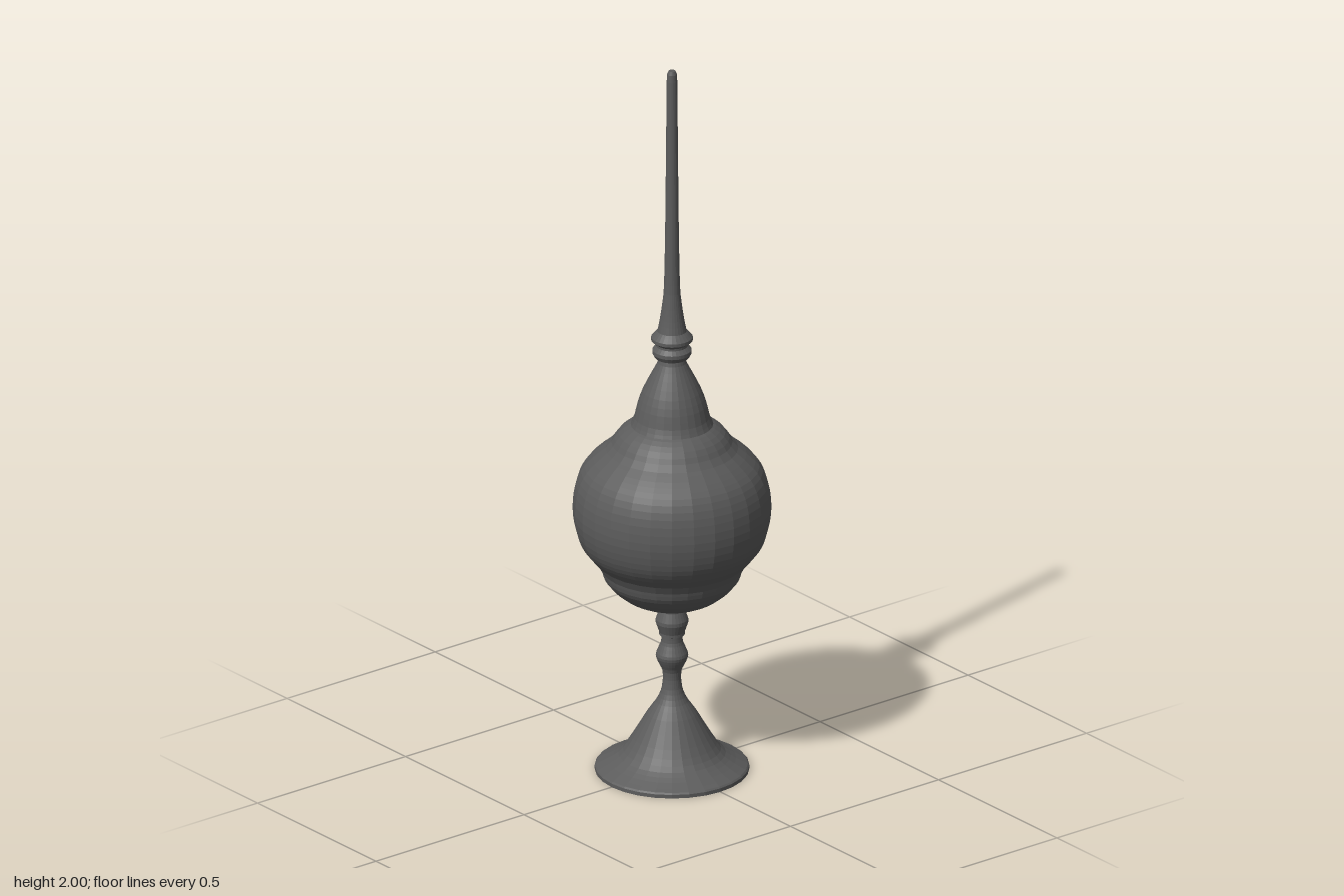
import * as THREE from 'three';

const SIDES = 28;

// Smooth curve through [radius, height] points
function smooth(points, count) {
  return new THREE.SplineCurve(points.map(([r, y]) => new THREE.Vector2(r, y))).getPoints(count);
}

function straight(points) {
  return points.map(([r, y]) => new THREE.Vector2(r, y));
}

export function createModel() {
  const group = new THREE.Group();
  const metal = new THREE.MeshStandardMaterial({ color: 0x5c5c5c, flatShading: true });
  metal.name = 'dark metal';

  function turned(name, profile) {
    const mesh = new THREE.Mesh(new THREE.LatheGeometry(profile, SIDES), metal);
    mesh.name = name;
    group.add(mesh);
  }

  // Flared foot, hollow underneath: inner surface, rim, then outer surface
  turned('foot', [
    ...smooth([[0, 0.2], [0.03, 0.19], [0.055, 0.16], [0.098, 0.09], [0.127, 0.045], [0.155, 0.022], [0.196, 0]], 12),
    ...straight([[0.204, 0], [0.204, 0.01]]),
    ...smooth([[0.2, 0.014], [0.165, 0.032], [0.135, 0.053], [0.107, 0.092], [0.064, 0.165], [0.04, 0.2], [0.028, 0.23], [0.024, 0.26]], 16),
  ]);

  // Stem with two knobs
  turned('stem', [
    ...smooth([[0.024, 0.26], [0.026, 0.285], [0.037, 0.308], [0.043, 0.327], [0.037, 0.345], [0.029, 0.365], [0.028, 0.383]], 14),
    ...straight([[0.034, 0.386], [0.034, 0.394], [0.043, 0.42], [0.043, 0.43], [0.034, 0.455], [0.034, 0.48]]),
  ]);

  // Round vessel with a stepped lower cup and shoulder
  turned('bowl', [
    ...straight([[0, 0.468], [0.04, 0.469]]),
    ...smooth([[0.065, 0.474], [0.115, 0.493], [0.152, 0.52], [0.178, 0.55], [0.188, 0.578]], 10),
    ...smooth([[0.2, 0.6], [0.232, 0.637], [0.252, 0.68], [0.262, 0.74], [0.257, 0.805], [0.238, 0.857], [0.208, 0.892], [0.175, 0.92]], 20),
    ...smooth([[0.16, 0.937], [0.145, 0.96], [0.125, 0.978], [0.105, 0.99]], 5),
  ]);

  // Tapered neck
  turned('neck', smooth([[0.109, 0.988], [0.1, 1.01], [0.092, 1.045], [0.078, 1.085], [0.056, 1.13], [0.038, 1.165], [0.034, 1.185]], 12));

  // Pair of collar rings
  turned('collar', straight([
    [0.033, 1.175], [0.045, 1.18], [0.052, 1.192], [0.052, 1.202], [0.042, 1.213],
    [0.042, 1.219], [0.055, 1.229], [0.055, 1.238], [0.045, 1.249], [0.038, 1.256],
  ]));

  // Slender spire with a closed tip
  turned('spire', [
    ...smooth([[0.039, 1.254], [0.032, 1.29], [0.025, 1.34], [0.021, 1.39], [0.018, 1.55], [0.016, 1.75], [0.014, 1.97]], 18),
    ...straight([[0.013, 1.99], [0.009, 2], [0, 2]]),
  ]);

  return group;
}
